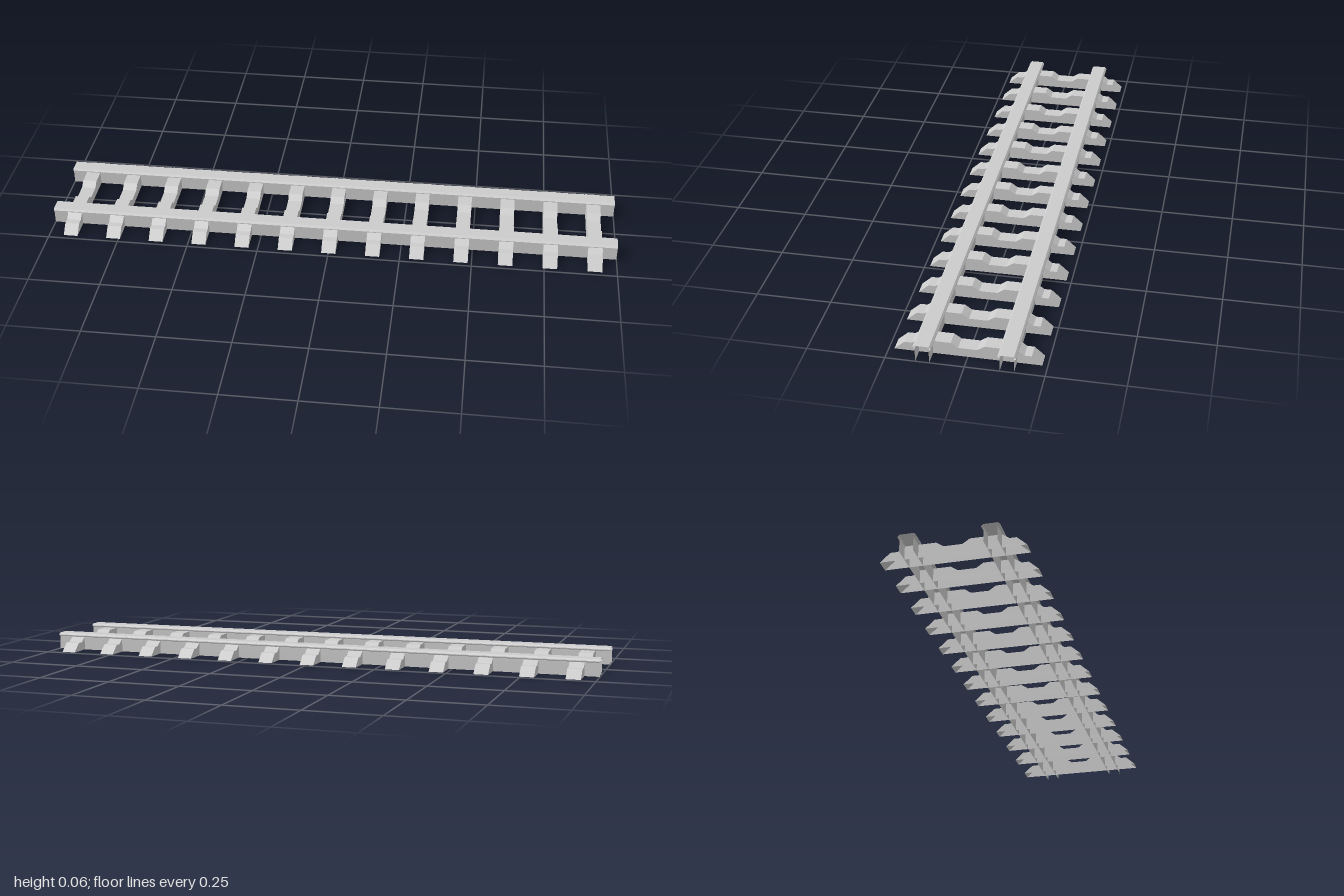
import * as THREE from 'three';
import { mergeGeometries } from 'three/addons/utils/BufferGeometryUtils.js';

const material = new THREE.MeshStandardMaterial({
  color: 0xcccccc, flatShading: true, side: THREE.DoubleSide,
});

// Sheet swept along x through [z, y] points listed from +z to -z
function sheet(points, halfLength) {
  const positions = [];
  for (let i = 0; i < points.length - 1; i++) {
    const [z0, y0] = points[i];
    const [z1, y1] = points[i + 1];
    const a = [-halfLength, y0, z0], b = [halfLength, y0, z0];
    const c = [halfLength, y1, z1], d = [-halfLength, y1, z1];
    positions.push(...a, ...b, ...c, ...a, ...c, ...d);
  }
  const geometry = new THREE.BufferGeometry();
  geometry.setAttribute('position', new THREE.Float32BufferAttribute(positions, 3));
  geometry.computeVertexNormals();
  return geometry;
}

// Completes a half profile by mirroring it across z = 0
const mirrored = (half) => [...half, ...half.map(([z, y]) => [-z, y]).reverse()];

// Sleeper: stepped shell with a raised seat under each rail, open underneath
function sleeperGeometry(halfWidth) {
  const profile = mirrored([
    [0.233, 0], [0.2, 0.03], [0.177, 0.03], [0.155, 0.046], [0.053, 0.046], [0.03, 0.03],
  ]);
  const outline = new THREE.Shape(profile.map(([z, y]) => new THREE.Vector2(z, y)));
  const walls = [1, -1].map((side) => {
    const wall = new THREE.ShapeGeometry(outline).toNonIndexed();
    wall.deleteAttribute('uv');
    return wall.rotateY(side * Math.PI / 2).translate(side * halfWidth, 0, 0);
  });
  return mergeGeometries([sheet(profile, halfWidth), ...walls]);
}

export function createModel() {
  const track = new THREE.Group();
  track.name = 'railwayTrack';

  // Sleepers
  const sleepers = new THREE.Group();
  sleepers.name = 'sleepers';
  const sleeper = sleeperGeometry(0.025);
  const count = 13;
  for (let i = 0; i < count; i++) {
    const mesh = new THREE.Mesh(sleeper, material);
    mesh.name = 'sleeper';
    mesh.position.x = -0.924 + (1.848 * i) / (count - 1);
    sleepers.add(mesh);
  }
  track.add(sleepers);

  // Rails: open-ended channels with a bevelled, slightly overhanging head
  const rail = sheet(mirrored([
    [0.022, 0], [0.022, 0.047], [0.029, 0.05], [0.029, 0.053], [0.023, 0.059],
  ]), 1);
  for (const [name, z] of [['frontRail', 0.132], ['backRail', -0.132]]) {
    const mesh = new THREE.Mesh(rail, material);
    mesh.name = name;
    mesh.position.z = z;
    track.add(mesh);
  }
  return track;
}
